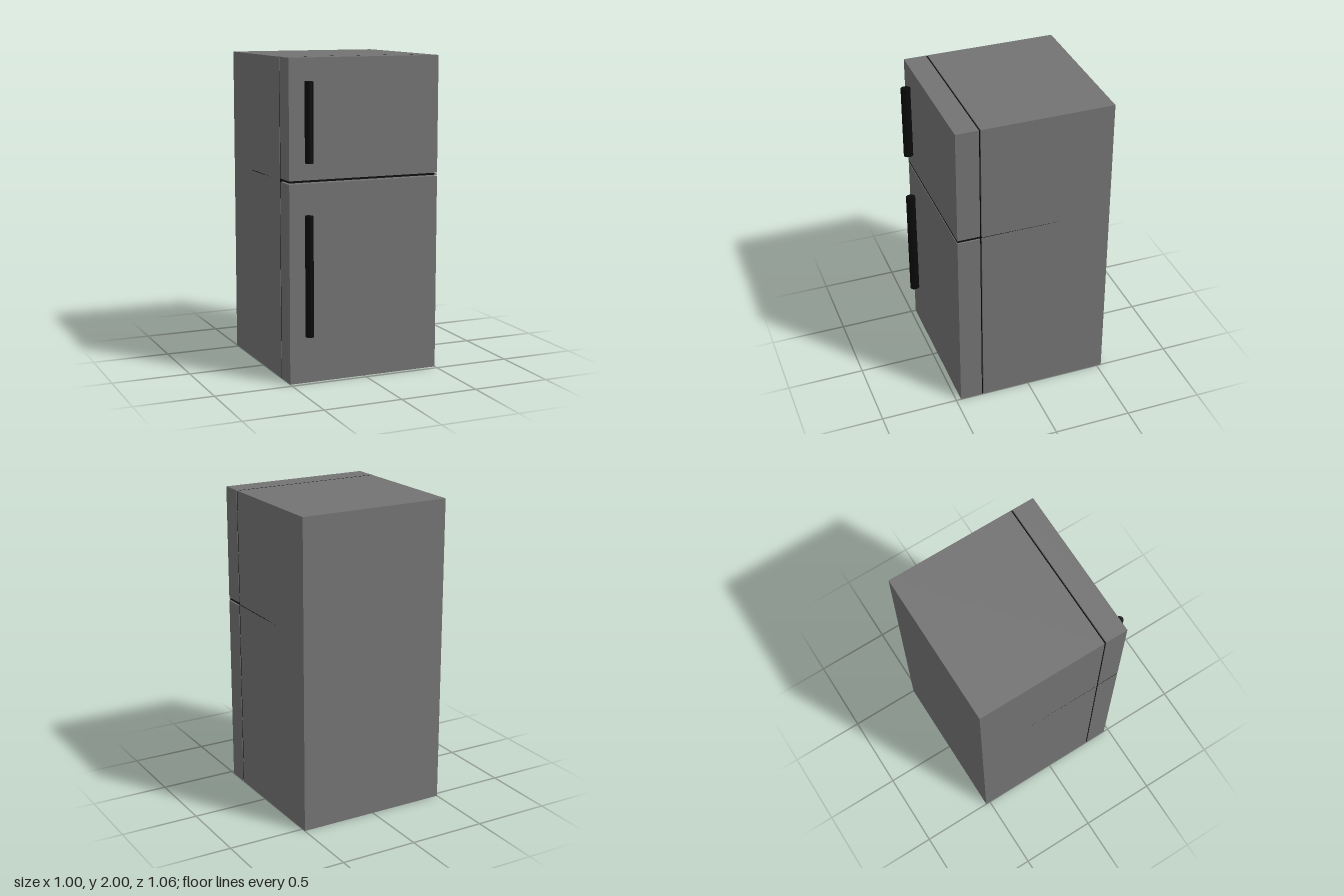
import * as THREE from 'three';

const grey = new THREE.MeshStandardMaterial({ color: 0x737373 });
const black = new THREE.MeshStandardMaterial({ color: 0x0a0a0a });

function add(parent, name, geometry, material) {
  const mesh = new THREE.Mesh(geometry, material);
  mesh.name = name;
  parent.add(mesh);
  return mesh;
}

// Box given by its lower and upper limits on y and z; all panels share one width
function panel(parent, name, y0, y1, z0, z1) {
  const mesh = add(parent, name, new THREE.BoxGeometry(1, y1 - y0, z1 - z0), grey);
  mesh.position.set(0, (y0 + y1) / 2, (z0 + z1) / 2);
}

// Unit plate, thinned towards its four edges, to be scaled into a seal
function taperedPlate() {
  const s = new THREE.Shape();
  s.moveTo(-0.4, -0.4).lineTo(0.4, -0.4).lineTo(0.4, 0.4).lineTo(-0.4, 0.4).closePath();
  return new THREE.ExtrudeGeometry(s, {
    depth: 0.2, bevelEnabled: true, bevelSize: 0.1, bevelThickness: 0.4, bevelSegments: 1,
  }).center();
}

export function createModel() {
  const group = new THREE.Group();
  group.name = 'refrigerator';

  // Cabinet and the two doors
  panel(group, 'cabinet', 0, 2, -0.53, 0.312);
  panel(group, 'lowerDoor', 0, 1.242, 0.323, 0.468);
  panel(group, 'upperDoor', 1.263, 2, 0.323, 0.468);

  // Seal between the cabinet and the doors
  const doorSeal = add(group, 'doorSeal', taperedPlate().scale(1, 2, 0.011), black);
  doorSeal.position.set(0, 1, 0.3175);

  // Divider between the doors, its rear part set into the cabinet
  const divider = add(group, 'doorDivider',
    taperedPlate().rotateX(-Math.PI / 2).scale(1, 0.021, 0.65), black);
  divider.position.set(0, 1.2525, 0.143);

  // Upright oval handles on the hinge-free side
  for (const [name, y0, y1] of [['lowerHandle', 0.3, 1.05], ['upperHandle', 1.37, 1.86]]) {
    const handle = add(group, name,
      new THREE.CylinderGeometry(1, 1, y1 - y0, 32).scale(0.025, 1, 0.031), black);
    handle.position.set(-0.383, (y0 + y1) / 2, 0.499);
  }
  return group;
}
